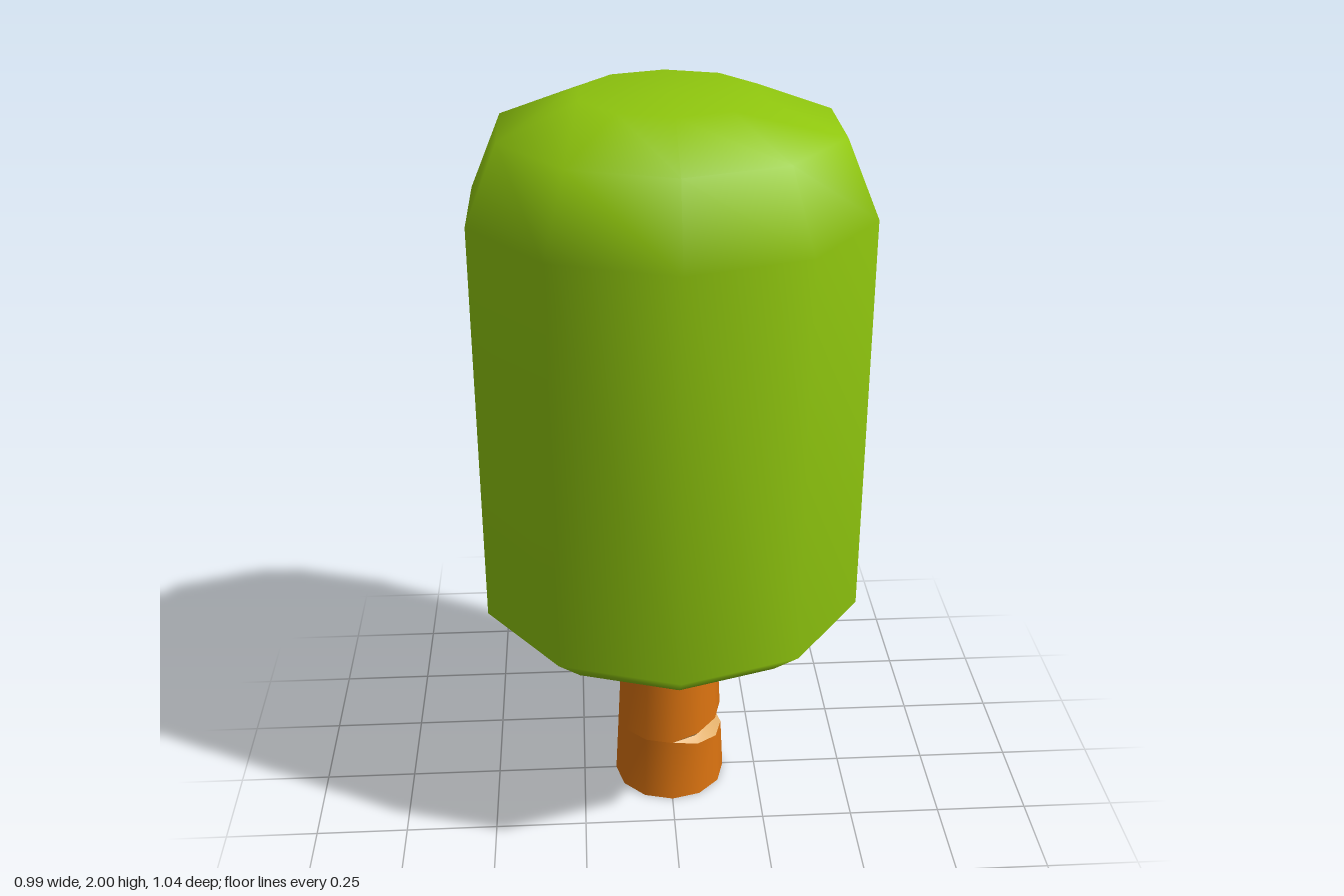
import * as THREE from 'three';

const SIDES = 12;

// Bands of quads between rings; each ring maps an angle (0 = +x) to a point.
function band(lower, upper, from, steps, closed) {
  const pos = [], idx = [];
  const cols = closed ? steps : steps + 1;
  for (let i = 0; i < cols; i++) {
    const a = from - (i * Math.PI * 2) / SIDES;
    pos.push(...lower(a), ...upper(a));
  }
  for (let i = 0; i < steps; i++) {
    const a = i * 2, b = ((i + 1) % cols) * 2;
    idx.push(a, b, b + 1, a, b + 1, a + 1);
  }
  const g = new THREE.BufferGeometry();
  g.setAttribute('position', new THREE.Float32BufferAttribute(pos, 3));
  g.setIndex(idx);
  g.computeVertexNormals();
  return g;
}

export function createModel() {
  const leaf = new THREE.MeshStandardMaterial({ name: 'leaf green', color: 0x8fc60e });
  const bark = new THREE.MeshStandardMaterial({ name: 'bark orange', color: 0xdb7310 });
  const wood = new THREE.MeshStandardMaterial({ name: 'cut wood', color: 0xe2b06c });
  const model = new THREE.Group();
  model.name = 'tree';

  const add = (name, geometry, material) => {
    const mesh = new THREE.Mesh(geometry, material);
    mesh.name = name;
    model.add(mesh);
    return mesh;
  };

  // Crown: ten-sided smooth barrel with a bevelled top and bottom
  const profile = [[0, 0.57], [0.43, 0.57], [0.52, 0.65], [0.52, 1.725], [0.435, 1.92], [0.23, 2], [0, 2]];
  add('crown', new THREE.LatheGeometry(profile.map(([r, y]) => new THREE.Vector2(r, y)), 10), leaf);

  // Trunk: tapering, split by a wedge notch on the +x side
  const radius = (y) => 0.157 - 0.05 * y;
  const bite = (a) => Math.max(0, Math.cos(a));
  const ring = (height, depth = 0) => (a) => {
    const y = height(a), r = radius(y) - depth * bite(a);
    return [r * Math.cos(a), y, r * Math.sin(a)];
  };
  const base = ring(() => 0);
  const notchLow = ring((a) => 0.19 - 0.038 * bite(a));
  const notchIn = ring(() => 0.19, 0.03);
  const notchHigh = ring((a) => 0.19 + 0.032 * bite(a));
  const top = ring(() => 0.6);
  add('trunkLower', band(base, notchLow, Math.PI / 2, SIDES, true), bark);
  add('trunkUpper', band(notchHigh, top, Math.PI / 2, SIDES, true), bark);
  add('notchLowerFace', band(notchLow, notchIn, Math.PI / 2, SIDES / 2, false), wood);
  add('notchUpperFace', band(notchIn, notchHigh, Math.PI / 2, SIDES / 2, false), wood);

  // Flat underside of the trunk
  add('trunkBase', new THREE.CircleGeometry(radius(0), SIDES), bark).rotation.x = Math.PI / 2;

  return model;
}
